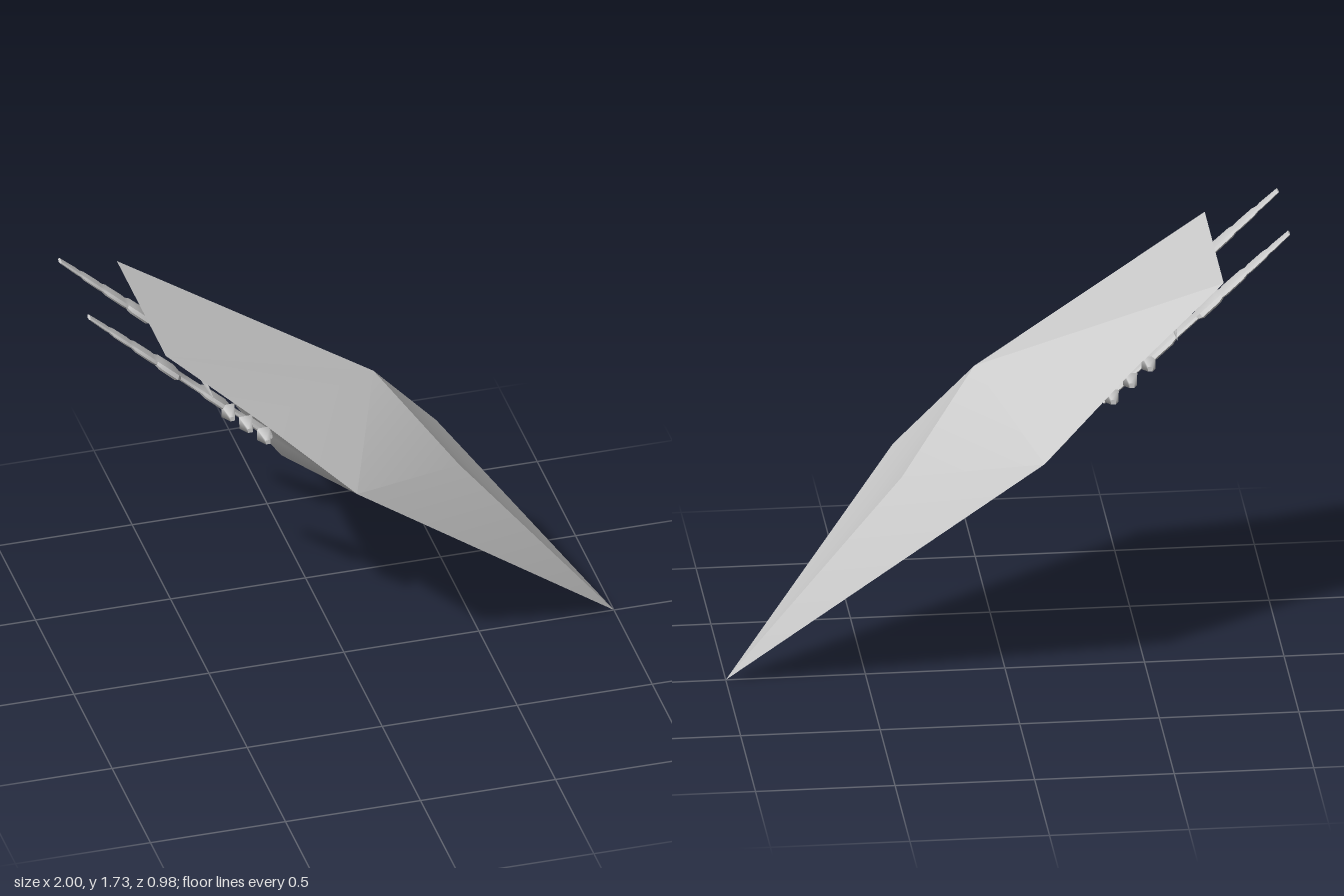
import * as THREE from 'three';
import { toCreasedNormals } from 'three/addons/utils/BufferGeometryUtils.js';

const grey = new THREE.MeshStandardMaterial({ color: 0xcccccc, side: THREE.DoubleSide });

// Corners of the +z half of the hull
const P = {
  nose: [1, 0, 0], ridge: [0.5, 0.65, 0], shoulder: [0.385, 0.825, 0.15],
  apex: [0.11, 1.18, 0], wing: [-0.09, 1, 0.49], side: [-0.42, 1.3, 0.375],
  corner: [-0.75, 1.6, 0.32], tail: [-0.75, 1.6, 0],
  belly: [-0.23, 0.88, 0], notch: [-0.18, 1.02, 0.31], keel: [-0.34, 1.03, 0], rear: [-0.49, 1.26, 0],
};
const FACES = [
  'apex tail corner', 'apex corner side', 'apex side wing', 'apex wing shoulder',
  'apex shoulder ridge', 'shoulder wing nose', 'shoulder nose ridge',
  'wing belly nose', 'wing notch belly', 'notch keel belly', 'notch rear keel',
  'wing side notch', 'side rear notch', 'side corner rear', 'corner tail rear',
];

// Mirrors each triangle in z and turns it to face away from the middle
function hullGeometry() {
  const middle = new THREE.Vector3(-0.12, 1.07, 0);
  const positions = [];
  for (const face of FACES) {
    for (const mirror of [1, -1]) {
      const v = face.split(' ').map(n => new THREE.Vector3(P[n][0], P[n][1], P[n][2] * mirror));
      const normal = new THREE.Triangle(...v).getNormal(new THREE.Vector3());
      if (normal.dot(v[0].clone().sub(middle)) < 0) v.reverse();
      v.forEach(p => positions.push(p.x, p.y, p.z));
    }
  }
  const g = new THREE.BufferGeometry();
  g.setAttribute('position', new THREE.Float32BufferAttribute(positions, 3));
  return toCreasedNormals(g, 0.4);
}

// Stepped, flattened barrel, running along local +y
function barrelGeometry() {
  const profile = [
    [0, 0], [0.035, 0], [0.035, 0.1], [0.025, 0.11], [0.025, 0.2], [0.045, 0.22],
    [0.045, 0.33], [0.032, 0.35], [0.032, 0.46], [0.052, 0.48], [0.05, 0.56],
    [0.036, 0.58], [0.04, 0.6], [0.038, 0.68], [0.028, 0.7], [0.032, 0.72],
    [0.03, 0.79], [0.021, 0.81], [0.024, 0.83], [0.018, 0.91], [0, 0.91],
  ].map(([r, y]) => new THREE.Vector2(r, y));
  const g = new THREE.LatheGeometry(profile, 8).toNonIndexed();
  g.scale(0.32, 1, 1);
  return toCreasedNormals(g, 0.5);
}

export function createModel() {
  const model = new THREE.Group();
  const add = (name, geometry, parent = model) => {
    const mesh = new THREE.Mesh(geometry, grey);
    mesh.name = name;
    parent.add(mesh);
    return mesh;
  };

  add('hull', hullGeometry());

  // Twin barrels and their fittings, slung under the rear of the hull
  const barrel = barrelGeometry();
  const fin = new THREE.CylinderGeometry(0.012, 0.035, 0.06, 4);
  for (const s of [-1, 1]) {
    const gun = new THREE.Group();
    gun.name = s > 0 ? 'leftGun' : 'rightGun';
    gun.position.set(-0.33, 1.11, 0.19 * s);
    gun.rotation.z = Math.atan2(0.67, 0.62);
    model.add(gun);
    add('barrel', barrel, gun);
    // Small fins beside the barrel
    for (const y of [0.04, 0.13, 0.22]) {
      const f = add('fin', fin, gun);
      f.position.set(0, y, 0.06 * s);
      f.rotation.x = s * Math.PI / 2;
    }
    // Pointed side lug just past the hull edge
    const lug = add('sideLug', new THREE.ConeGeometry(0.012, 0.18, 4));
    lug.position.set(-0.58, 1.4, 0.275 * s);
    lug.rotation.x = s * Math.PI / 2;
  }
  return model;
}
